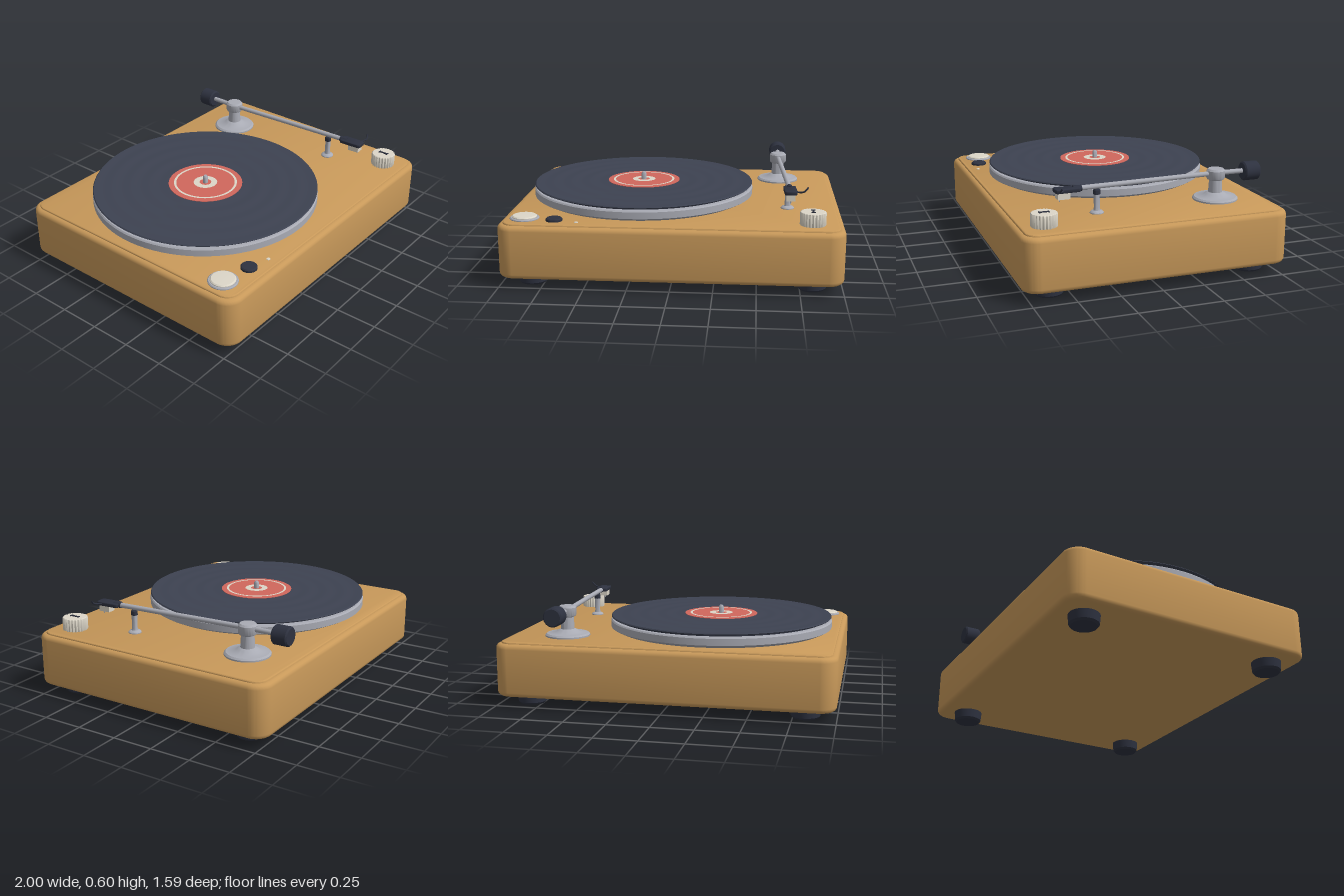
import * as THREE from 'three';
import { toCreasedNormals } from 'three/addons/utils/BufferGeometryUtils.js';

const mat = (name, color) => {
  const m = new THREE.MeshStandardMaterial({ color });
  m.name = name;
  return m;
};

export function createModel() {
  const root = new THREE.Group();
  root.name = 'recordPlayer';
  const wood = mat('wood', 0xc8995a);
  const metal = mat('brushedMetal', 0xa9abb4);
  const dark = mat('darkRubber', 0x2e3240);
  const vinyl = mat('vinyl', 0x3d4251);
  const cream = mat('cream', 0xdcd6c8);
  const red = mat('labelRed', 0xd0675c);

  const add = (name, geo, material, x = 0, y = 0, z = 0, parent = root) => {
    const m = new THREE.Mesh(geo, material);
    m.name = name;
    m.position.set(x, y, z);
    parent.add(m);
    return m;
  };
  // Turned part from [radius, height] pairs, bottom to top
  const turned = (pts, seg = 48) => toCreasedNormals(
    new THREE.LatheGeometry(pts.map(([r, y]) => new THREE.Vector2(r, y)), seg), 0.6);
  // Rounded slab with bevelled edges, standing on y = 0
  const slab = (w, d, h, r, bevel) => {
    const a = w / 2 - bevel, b = d / 2 - bevel, c = r - bevel;
    const s = new THREE.Shape();
    s.absarc(a - c, b - c, c, 0, Math.PI / 2);
    s.absarc(c - a, b - c, c, Math.PI / 2, Math.PI);
    s.absarc(c - a, c - b, c, Math.PI, Math.PI * 1.5);
    s.absarc(a - c, c - b, c, Math.PI * 1.5, Math.PI * 2);
    const g = new THREE.ExtrudeGeometry(s, {
      depth: h - 2 * bevel, bevelSize: bevel, bevelThickness: bevel, bevelSegments: 4, curveSegments: 10,
    });
    g.translate(0, 0, bevel).rotateX(-Math.PI / 2);
    return toCreasedNormals(g, 0.6);
  };
  const rod = (name, points, radius, material, parent) => add(name, new THREE.TubeGeometry(
    new THREE.CatmullRomCurve3(points.map((p) => new THREE.Vector3(...p))), 24, radius, 12), material, 0, 0, 0, parent);

  // Plinth and top plate
  add('plinth', slab(2, 1.59, 0.315, 0.1, 0.028), wood, 0, 0.065, 0);
  add('topPlate', slab(1.94, 1.53, 0.03, 0.075, 0.008), wood, 0, 0.36, 0);

  // Feet
  const foot = turned([[0, 0], [0.075, 0], [0.085, 0.012], [0.09, 0.07], [0, 0.07]], 32);
  for (const x of [-0.82, 0.82]) for (const z of [-0.615, 0.615]) add('foot', foot, dark, x, 0, z);

  // Platter, mat and record
  const deck = new THREE.Group();
  deck.name = 'turntable';
  deck.position.set(-0.23, 0, -0.02);
  root.add(deck);
  add('platter', turned([[0, 0.385], [0.645, 0.385], [0.685, 0.404], [0.695, 0.41], [0.695, 0.45],
    [0.688, 0.458], [0, 0.458]], 96), metal, 0, 0, 0, deck);
  add('mat', turned([[0.66, 0.456], [0.66, 0.472]], 96), dark, 0, 0, 0, deck);
  const groove = [[0, 0.47], [0.688, 0.47], [0.693, 0.475], [0.688, 0.481]];
  for (let i = 0; i <= 40; i++) {
    const r = 0.67 - i * 0.011;
    groove.push([r, 0.48 + 0.0012 * Math.cos((r - 0.23) * Math.PI * 2 / 0.115)]);
  }
  groove.push([0, 0.481]);
  add('record', turned(groove, 96), vinyl, 0, 0, 0, deck);
  add('label', turned([[0.228, 0.478], [0.228, 0.484], [0, 0.484]], 64), red, 0, 0, 0, deck);
  const ring = (name, inner, outer, y) => add(name,
    new THREE.RingGeometry(inner, outer, 64).rotateX(-Math.PI / 2), cream, 0, y, 0, deck);
  ring('labelRing', 0.181, 0.195, 0.486);
  ring('labelCentre', 0.036, 0.073, 0.486);
  add('spindle', turned([[0.016, 0.47], [0.016, 0.522], [0.01, 0.532], [0, 0.534]], 24), metal, 0, 0, 0, deck);

  // Tonearm pivot
  const arm = new THREE.Group();
  arm.name = 'tonearm';
  root.add(arm);
  add('pivotBase', turned([[0, 0.385], [0.135, 0.385], [0.135, 0.399], [0.125, 0.408], [0.075, 0.413],
    [0.06, 0.425], [0.042, 0.433], [0.038, 0.505], [0.05, 0.511], [0.055, 0.52], [0.055, 0.563],
    [0.045, 0.574], [0, 0.576]]), metal, 0.635, 0, -0.48, arm);
  // Arm tube and counterweight
  rod('armTube', [[0.635, 0.545, -0.7], [0.635, 0.545, -0.48], [0.66, 0.545, -0.03], [0.685, 0.545, 0.41]], 0.015, metal, arm);
  const weight = turned([[0, -0.05], [0.049, -0.05], [0.057, -0.042], [0.057, 0.042], [0.049, 0.05], [0, 0.05]], 32);
  add('counterweight', weight, dark, 0.635, 0.543, -0.704, arm).rotation.x = Math.PI / 2;

  // Headshell, cartridge and finger lift
  const head = new THREE.Group();
  head.name = 'headshell';
  head.position.set(0.688, 0, 0.46);
  head.rotation.y = 0.05;
  arm.add(head);
  add('shell', slab(0.074, 0.15, 0.024, 0.016, 0.005), dark, 0, 0.532, 0, head);
  add('collar', new THREE.CylinderGeometry(0.018, 0.018, 0.05, 20).rotateX(Math.PI / 2), dark, 0, 0.545, -0.06, head);
  add('cartridge', new THREE.BoxGeometry(0.052, 0.038, 0.072), cream, 0, 0.514, 0.025, head);
  add('stylus', new THREE.CylinderGeometry(0.005, 0.002, 0.02, 8), metal, 0, 0.487, 0.045, head);
  rod('fingerLift', [[0.03, 0.546, 0.03], [0.055, 0.547, 0.055], [0.078, 0.556, 0.066], [0.098, 0.578, 0.06]], 0.005, dark, head);

  // Arm rest
  add('restPost', turned([[0, 0.385], [0.04, 0.385], [0.04, 0.395], [0.034, 0.402], [0.02, 0.407],
    [0.017, 0.42], [0.017, 0.505], [0, 0.505]], 24), metal, 0.68, 0, 0.282);
  add('restClip', turned([[0, 0.5], [0.02, 0.5], [0.02, 0.525], [0.015, 0.531], [0, 0.531]], 24), dark, 0.68, 0, 0.282);

  // Fluted knob with pointer mark
  const flutes = new THREE.Shape();
  const n = 144;
  for (let i = 0; i < n; i++) {
    const a = i / n * Math.PI * 2, r = 0.068 + 0.003 * Math.cos(a * 24);
    flutes[i ? 'lineTo' : 'moveTo'](r * Math.cos(a), r * Math.sin(a));
  }
  const knobGeo = new THREE.ExtrudeGeometry(flutes, {
    depth: 0.07, bevelSize: 0.004, bevelThickness: 0.006, bevelSegments: 2,
  });
  knobGeo.rotateX(-Math.PI / 2);
  add('knob', toCreasedNormals(knobGeo, 0.5), cream, 0.815, 0.39, 0.63);
  add('knobMark', new THREE.BoxGeometry(0.01, 0.006, 0.055), dark, 0.815, 0.468, 0.63);
  for (const s of [-1, 1]) {
    add('knobMarkEnd', new THREE.BoxGeometry(0.024, 0.006, 0.006), dark, 0.815, 0.468, 0.63 + s * 0.027);
  }

  // Start button, small button and indicator lamp
  add('buttonRing', turned([[0.086, 0.385], [0.086, 0.395], [0.081, 0.4], [0.07, 0.4]]), metal, -0.857, 0, 0.63);
  add('startButton', turned([[0.073, 0.385], [0.073, 0.404], [0.066, 0.41], [0, 0.413]]), cream, -0.857, 0, 0.63);
  add('smallButton', turned([[0.048, 0.385], [0.048, 0.402], [0.042, 0.408], [0, 0.41]], 32), dark, -0.675, 0, 0.667);
  add('indicatorLamp', turned([[0.012, 0.385], [0.011, 0.393], [0, 0.396]], 16), cream, -0.54, 0, 0.7);

  return root;
}
